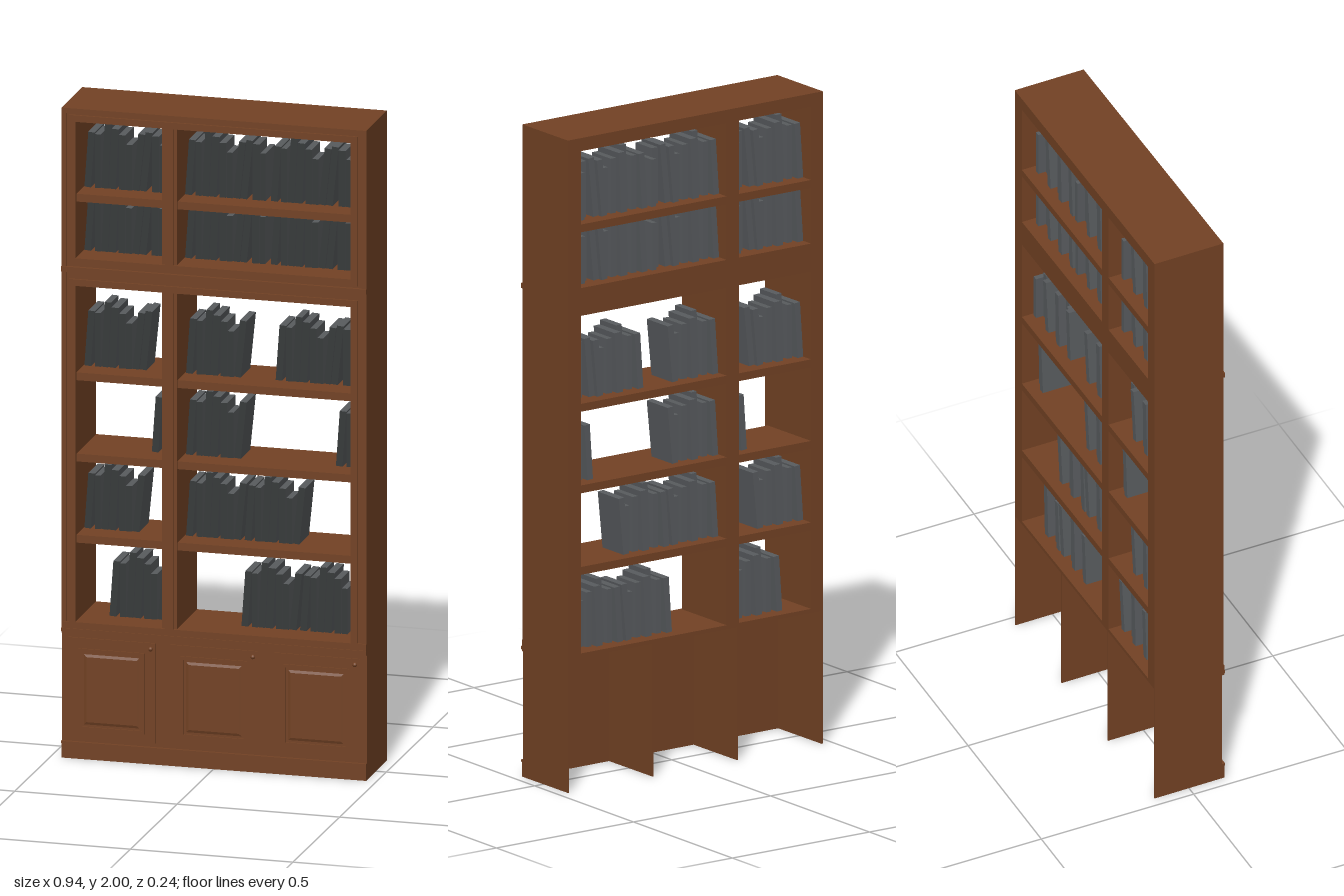
import * as THREE from 'three';

const wood = new THREE.MeshStandardMaterial({ color: 0x734224 });
wood.name = 'brown wood';
const cover = new THREE.MeshStandardMaterial({ color: 0x585b5e });
cover.name = 'grey cover';
const spine = new THREE.MeshStandardMaterial({ color: 0x363939 });
spine.name = 'dark spine';

const W = 0.468, BACK = -0.118, FRONT = 0.105;
// Inner edges of the two bays
const BAYS = [[-0.425, -0.16], [-0.115, 0.42]];

export function createModel() {
  const root = new THREE.Group();
  const bookcase = new THREE.Group();
  bookcase.name = 'bookcase';
  bookcase.rotation.y = 0.0095; // stands very slightly turned
  root.add(bookcase);

  function add(name, geometry, material = wood) {
    const mesh = new THREE.Mesh(geometry, material);
    mesh.name = name;
    bookcase.add(mesh);
    return mesh;
  }

  // Box given by its limits on each axis
  function box(name, x0, x1, y0, y1, z0 = BACK, z1 = FRONT) {
    const mesh = add(name, new THREE.BoxGeometry(x1 - x0, y1 - y0, z1 - z0));
    mesh.position.set((x0 + x1) / 2, (y0 + y1) / 2, (z0 + z1) / 2);
    return mesh;
  }

  const trace = (path, x0, x1, y0, y1) => path
    .moveTo(x0, y0).lineTo(x1, y0).lineTo(x1, y1).lineTo(x0, y1).closePath();

  // Flat rectangular ring of width t lying outside the given opening
  function ring(name, x0, x1, y0, y1, t, z0, z1) {
    const shape = new THREE.Shape();
    trace(shape, x0 - t, x1 + t, y0 - t, y1 + t);
    const hole = new THREE.Path();
    trace(hole, x0, x1, y0, y1);
    shape.holes.push(hole);
    add(name, new THREE.ExtrudeGeometry(shape, { depth: z1 - z0, bevelEnabled: false })).position.z = z0;
  }

  // Carcass: side walls, divider, top and the thick middle board
  box('rightWall', -W, BAYS[0][0], 0.42, 2);
  box('leftWall', BAYS[1][1], W, 0.42, 2);
  box('divider', BAYS[0][1], BAYS[1][0], 0.42, 1.96);
  box('topBoard', BAYS[0][0], BAYS[1][1], 1.96, 2);
  for (const [a, b] of BAYS) box('middleBoard', a, b, 1.455, 1.54);

  // Shelves
  for (const top of [1.735, 1.185, 0.935, 0.685])
    for (const [a, b] of BAYS) box('shelf', a, b, top - 0.024, top, BACK, 0.098);

  // Face frames with a stepped border around each section
  for (const [y0, y1] of [[1.54, 1.96], [0.42, 1.455]]) {
    ring('sectionFrame', BAYS[0][0], BAYS[1][1], y0, y1, 0.02, FRONT, 0.112);
    box('dividerTrim', BAYS[0][1] + 0.01, BAYS[1][0] - 0.01, y0, y1, FRONT, 0.112);
  }
  box('frameEdge', -W, -W + 0.015, 0.42, 2, FRONT, 0.109);
  box('frameEdge', W - 0.015, W, 0.42, 2, FRONT, 0.109);
  box('topMoulding', -W, W, 1.985, 2, FRONT, 0.109);

  // Base cabinet, open at the back and underneath
  box('baseTop', -W, W, 0.408, 0.42);
  box('baseFront', -W, W, 0, 0.42, 0.099, FRONT);
  for (let i = 0; i < 4; i++) {
    const x = -W + 0.002 + i * (2 * W - 0.004) / 3;
    box('basePartition', x - 0.002, x + 0.002, 0, 0.41, BACK, 0.1);
  }
  box('baseRail', -W, W, 0.385, 0.42, FRONT, 0.112);
  box('plinth', -W, W, 0, 0.045, FRONT, 0.112);

  // Narrow ledges across the front
  for (const [y0, y1] of [[1.497, 1.513], [0.39, 0.4], [0.045, 0.052]])
    box('ledge', -W, W, y0, y1, FRONT, 0.115);

  // Three doors, each with a moulded ring, raised panel and knob
  for (const cx of [-0.314, 0, 0.313]) {
    box('door', cx - 0.133, cx + 0.133, 0.063, 0.372, FRONT, 0.109);
    ring('doorMoulding', cx - 0.092, cx + 0.092, 0.1, 0.33, 0.01, 0.109, 0.113);
    const panel = new THREE.Shape();
    trace(panel, cx - 0.077, cx + 0.077, 0.115, 0.315);
    add('doorPanel', new THREE.ExtrudeGeometry(panel, {
      depth: 0.001, bevelThickness: 0.003, bevelSize: 0.008, bevelSegments: 1,
    })).position.z = 0.109;
    const knob = add('doorKnob', new THREE.SphereGeometry(0.007, 12, 8));
    knob.position.set(cx + 0.12, 0.355, 0.112);
  }

  // Books: repeating thickness, height and lean (positive leans to +x)
  const BOOKS = [
    [0.02, 0.17, 0.07], [0.018, 0.165, 0], [0.02, 0.2, 0.05], [0.022, 0.185, 0.05],
    [0.02, 0.168, 0], [0.018, 0.14, 0], [0.02, 0.175, 0.1], [0.02, 0.182, 0.1],
    [0.022, 0.172, 0], [0.016, 0.145, 0],
  ];
  const bookMaterials = [cover, cover, cover, cover, spine, cover];

  function books(x0, x1, y, limit = 1) {
    let x = x0;
    for (let i = 0; ; i++) {
      const [w, h0, lean] = BOOKS[i % BOOKS.length];
      const h = Math.min(h0, limit);
      const nextLean = BOOKS[(i + 1) % BOOKS.length][2];
      const reach = h * Math.sin(lean);
      if (x + w + reach > x1 + 0.004) break;
      const depth = 0.105 - 0.012 * (i % 3);
      const geometry = new THREE.BoxGeometry(w, h, depth);
      geometry.translate(-w / 2, h / 2, 0); // pivot on the lower +x corner
      const book = add('book', geometry, bookMaterials);
      book.rotation.z = -lean;
      book.position.set(x + w, y, 0.022 - depth / 2);
      x += w + 0.002 + (nextLean < lean ? reach * 0.85 : 0);
    }
  }

  // Rows of books: start, end, shelf height, tallest allowed
  const ROWS = [
    [-0.422, -0.16, 1.735], [-0.113, 0.15, 1.735], [0.15, 0.42, 1.735],
    [-0.422, -0.16, 1.54, 0.168], [-0.113, 0.15, 1.54, 0.168], [0.15, 0.42, 1.54, 0.168],
    [-0.422, -0.2, 1.185], [-0.11, 0.08, 1.185], [0.165, 0.42, 1.185],
    [-0.215, -0.16, 0.935], [-0.11, 0.08, 0.935], [0.35, 0.41, 0.935],
    [-0.422, -0.23, 0.685], [-0.11, 0.075, 0.685], [0.07, 0.255, 0.685],
    [-0.345, -0.16, 0.42], [0.06, 0.245, 0.42], [0.24, 0.42, 0.42],
  ];
  for (const row of ROWS) books(...row);

  return root;
}
